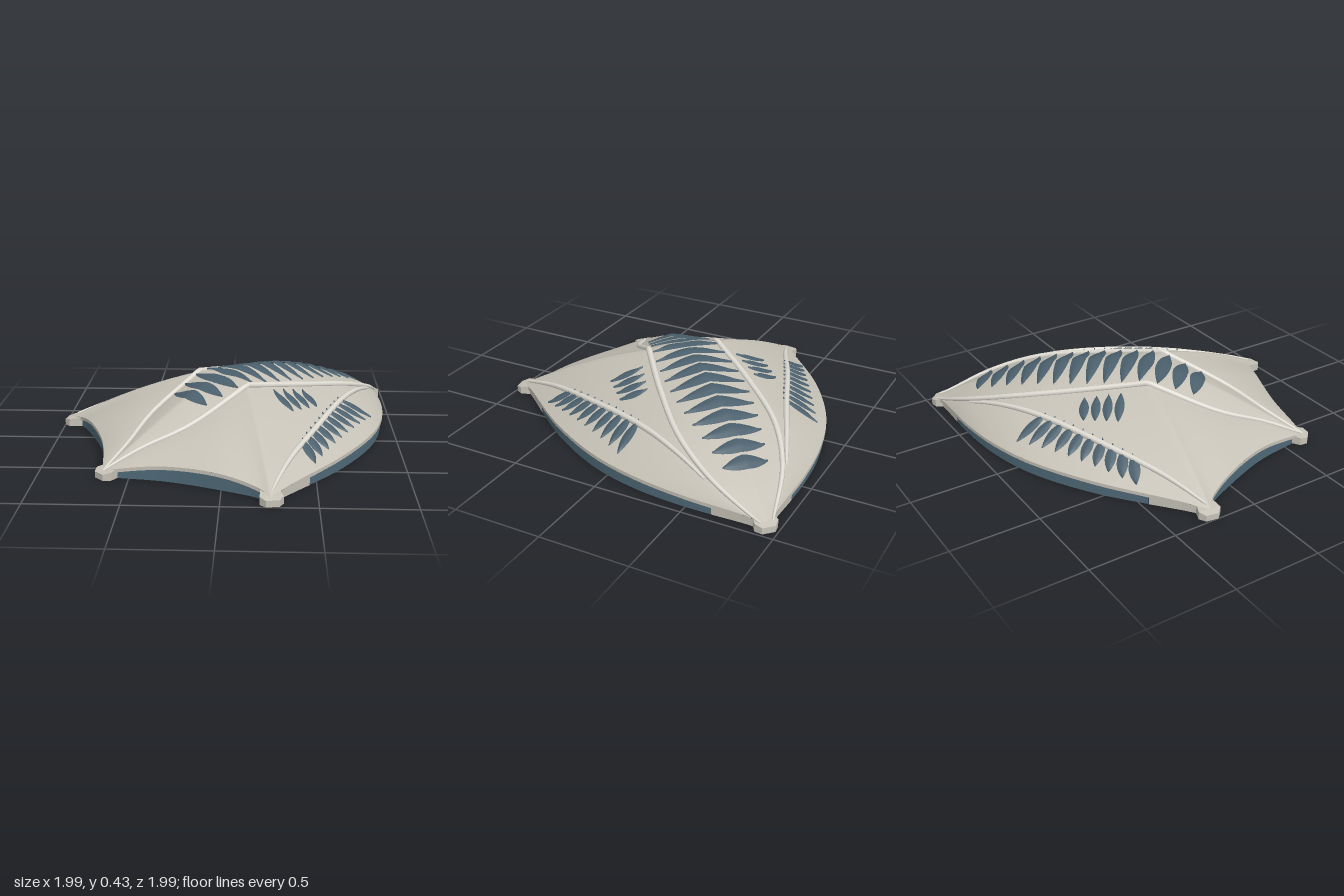
import * as THREE from 'three';
import { mergeGeometries, mergeVertices } from 'three/addons/utils/BufferGeometryUtils.js';
import { ConvexGeometry } from 'three/addons/geometries/ConvexGeometry.js';

const material = (color) => new THREE.MeshStandardMaterial({ color, side: THREE.DoubleSide });
const shellMat = material(0xc6c2b7);
const ribMat = material(0xdedbd2);
const glassMat = material(0x4f6a78);
const leafMat = material(0x4a5f6c);

// Local frame: x runs along the spine to the rear tip, z across it.
const curve = (pts) => new THREE.CatmullRomCurve3(pts.map((p) => new THREE.Vector3(...p)));
const joint = [-0.03, 0.38, 0.205], corner = [-0.5, 0.04, 0.87];
const nose = [-0.9, 0.04, 0], crown = [0, 0.402, 0];
const ribBack = curve([joint, [0.36, 0.315, 0.25], [0.757, 0.24, 0.262], [1.05, 0.15, 0.19], [1.28, 0.055, 0.06], [1.33, 0.04, 0.03]]);
const ribFront = curve([joint, [-0.43, 0.22, 0.16], [-0.69, 0.125, 0.057], nose]);
const spineBack = curve([crown, [0.15, 0.41, 0], [0.4, 0.39, 0], [0.7, 0.315, 0], [1.13, 0.15, 0], [1.33, 0.045, 0]]);
const spineFront = curve([crown, [-0.3, 0.325, 0], [-0.6, 0.19, 0], nose]);
const sideEdge = curve([corner, [-0.38, 0.055, 0.85], [0.127, 0.08, 0.79], [0.53, 0.085, 0.67], [0.8, 0.08, 0.516],
  [1.03, 0.07, 0.325], [1.287, 0.05, 0.06], [1.33, 0.04, 0.03]]);
const frontEdge = curve([corner, [-0.495, 0.06, 0.778], [-0.566, 0.095, 0.566], [-0.7, 0.09, 0.276], [-0.841, 0.06, 0.078], nose]);

// Surface from a grid of points, point(i, j) giving a Vector3
function grid(nu, nv, point, flip = false) {
  const pos = [], idx = [];
  for (let i = 0; i <= nu; i++) for (let j = 0; j <= nv; j++) {
    pos.push(...point(i / nu, j / nv).toArray());
    if (i === nu || j === nv) continue;
    const a = i * (nv + 1) + j, b = a + 1, c = a + nv + 1, d = c + 1;
    idx.push(...(flip ? [a, c, b, b, c, d] : [a, b, c, b, d, c]));
  }
  const g = new THREE.BufferGeometry();
  g.setAttribute('position', new THREE.Float32BufferAttribute(pos, 3));
  g.setIndex(idx);
  g.computeVertexNormals();
  return g;
}

// Roof panel stretched between two curves, bulging upward in the middle
function panel(inner, outer, bulge, forward, side) {
  return grid(48, 10, (u, v) => {
    const p = inner.getPointAt(u).lerp(outer.getPointAt(u), v);
    p.y += 4 * v * (1 - v) * bulge * (1 - u);
    p.z *= side;
    return p;
  }, forward !== (side > 0));
}

function makeShell() {
  const parts = [];
  for (const side of [1, -1]) {
    parts.push(
      panel(ribBack, sideEdge, 0.028, true, side), panel(ribFront, frontEdge, 0.028, false, side),
      panel(spineBack, ribBack, 0.008, true, side), panel(spineFront, ribFront, 0.008, false, side));
  }
  const merged = mergeGeometries(parts);
  merged.deleteAttribute('normal');
  const g = mergeVertices(merged, 1e-4);
  g.computeVertexNormals();
  return new THREE.Mesh(g, shellMat);
}

// Vertical strip under an edge curve
function wall(edge, u0, u1, top, bottom, inset, side) {
  return grid(32, 1, (u, v) => {
    const p = edge.getPointAt(u0 + (u1 - u0) * u);
    p.x = 0.2 + (p.x - 0.2) * inset;
    p.z *= inset * side;
    p.y = v ? bottom(p.y) : p.y - top;
    return p;
  });
}

// Round rib along a path, tapering at both ends
function rib(points, radius) {
  const path = new THREE.CatmullRomCurve3(points);
  const n = 80, m = 8, g = new THREE.TubeGeometry(path, n, radius, m, false);
  const pos = g.attributes.position, v = new THREE.Vector3();
  for (let i = 0; i <= n; i++) {
    const c = path.getPointAt(i / n);
    const k = 0.25 + 0.75 * Math.sqrt(Math.sin(Math.PI * i / n));
    for (let j = 0; j <= m; j++) {
      const id = i * (m + 1) + j;
      v.fromBufferAttribute(pos, id).sub(c).multiplyScalar(k).add(c);
      pos.setXYZ(id, v.x, v.y, v.z);
    }
  }
  return g;
}

// Angular foot at a corner, pointing outward along (dx, dz)
function foot(x, z, dx, dz) {
  const pts = [];
  for (const [a, b, y] of [[-0.09, 0.045, 0.055], [-0.01, 0.062, 0.045], [0.025, 0.035, 0.035]]) {
    for (const s of [1, -1]) for (const h of [0, y]) {
      pts.push(new THREE.Vector3(x + dx * a - dz * b * s, h, z + dz * a + dx * b * s));
    }
  }
  return new ConvexGeometry(pts);
}

export function createModel() {
  const group = new THREE.Group();
  group.name = 'leafCanopy';
  const add = (name, geometry, mat) => {
    const mesh = new THREE.Mesh(geometry, mat);
    mesh.name = name;
    group.add(mesh);
  };
  const shell = makeShell();
  shell.name = 'roofShell';

  // Height of the roof at a plan position
  const ray = new THREE.Raycaster(), down = new THREE.Vector3(0, -1, 0);
  const height = (x, z) => {
    ray.set(new THREE.Vector3(x, 2, z), down);
    const hit = ray.intersectObject(shell)[0];
    return hit ? hit.point.y : 0.05;
  };

  // Pointed leaf louvre draped over the roof from a to b in plan
  const leaf = (a, b, width) => {
    const dx = b[0] - a[0], dz = b[1] - a[1], len = Math.hypot(dx, dz);
    return grid(12, 4, (u, v) => {
      const w = width * Math.sin(Math.PI * u) ** 0.85 * (v - 0.5);
      const x = a[0] + dx * u - dz / len * w, z = a[1] + dz * u + dx / len * w;
      return new THREE.Vector3(x, height(x, z) + 0.007 + 0.01 * (1 - Math.abs(2 * v - 1)), z);
    });
  };
  // Row of leaves blended from a first to a last one
  const leafRow = (count, first, last, width, side) => mergeGeometries(Array.from({ length: count }, (_, i) => {
    const k = i / (count - 1);
    const mix = (j) => [THREE.MathUtils.lerp(first[j][0], last[j][0], k), side * THREE.MathUtils.lerp(first[j][1], last[j][1], k)];
    return leaf(mix(0), mix(1), width);
  }));

  // Large leaves across the spine
  const spineLeaves = [];
  for (let i = 0; i < 14; i++) {
    const x = -0.28 + 0.1 * i;
    const half = 0.115 + 0.1 * Math.sin(Math.PI * (i + 1.2) / 14.5);
    spineLeaves.push(leaf([x, -half], [x, half], 0.085));
  }
  add('spineLeaves', mergeGeometries(spineLeaves), leafMat);

  const ground = () => 0, lip = (y) => y - 0.02;
  for (const side of [1, -1]) {
    const label = side > 0 ? 'Left' : 'Right';
    add('rowLeaves' + label, leafRow(10, [[-0.04, 0.64], [-0.095, 0.795]], [[0.505, 0.41], [0.635, 0.565]], 0.062, side), leafMat);
    add('smallLeaves' + label, leafRow(4, [[0.106, 0.278], [0.08, 0.463]], [[0.31, 0.31], [0.276, 0.46]], 0.055, side), leafMat);

    // Main rib from front foot over the joint to the rear tip
    const main = [...ribFront.getSpacedPoints(24).reverse(), ...ribBack.getSpacedPoints(36).slice(1)];
    main.forEach((p) => { p.z *= side; p.y += 0.004; });
    add('mainRib' + label, rib(main, 0.018), ribMat);

    // Lower rib lying on the side panel
    const plan = curve([[-0.475, 0, 0.845], [-0.23, 0, 0.73], [0.134, 0, 0.59], [0.53, 0, 0.42], [0.78, 0, 0.32], [1.03, 0, 0.22]]);
    const lower = plan.getSpacedPoints(30);
    lower.forEach((p) => { p.z *= side; p.y = height(p.x, p.z) + 0.005; });
    add('lowerRib' + label, rib(lower, 0.018), ribMat);

    // Rim, glazing and solid wall ends under each edge
    for (const [name, edge, u0, u1] of [['side', sideEdge, 0.16, 0.87], ['front', frontEdge, 0.08, 0.93]]) {
      add(name + 'Rim' + label, wall(edge, 0, 1, 0, lip, 1, side), shellMat);
      add(name + 'Soffit' + label, grid(40, 1, (u, v) => {
        const p = edge.getPointAt(u), k = v ? 0.985 : 1;
        return p.set(0.2 + (p.x - 0.2) * k, p.y - 0.02, p.z * k * side);
      }), shellMat);
      add(name + 'Glazing' + label, wall(edge, u0, u1, 0.015, ground, 0.988, side), glassMat);
      add(name + 'WallEnds' + label, mergeGeometries([
        wall(edge, 0, u0, 0.015, ground, 0.99, side), wall(edge, u1, 1, 0.015, ground, 0.99, side)]), shellMat);
    }
    add('cornerFoot' + label, foot(-0.5, side * 0.872, -0.585, side * 0.811), shellMat);
  }
  add('frontFoot', foot(-0.905, 0, -1, 0), shellMat);
  add('rearFoot', foot(1.335, 0, 1, 0), shellMat);

  group.add(shell);
  // Turn the spine onto the plan diagonal
  group.rotation.y = Math.PI / 4;
  const root = new THREE.Group();
  root.name = 'canopy';
  root.add(group);
  return root;
}
